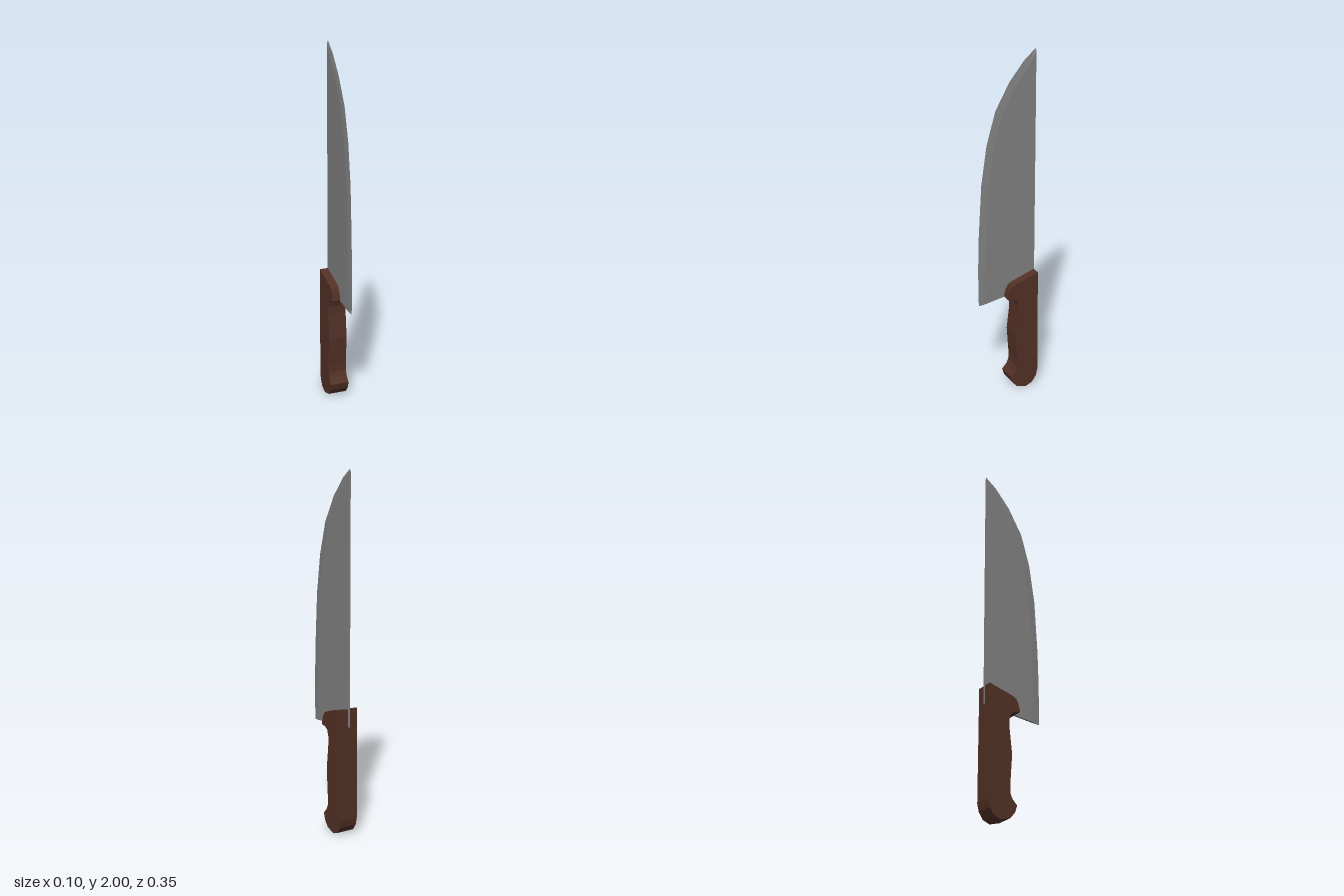
import * as THREE from 'three';

const steel = new THREE.MeshStandardMaterial({ color: 0x808080, flatShading: true });
steel.name = 'steel grey';
const wood = new THREE.MeshStandardMaterial({ color: 0x523025, flatShading: true });
wood.name = 'dark brown wood';

const SPINE = -0.17;
const BLADE_HALF = 0.006;
const HANDLE_HALF = 0.052;

// Blade: lofted rows from heel to tip, flat at the spine and ground to a sharp edge
function makeBlade() {
  // [edge z, edge y, bevel z, bevel y, spine y]
  const rows = [
    [0.172, 0.58, 0.13, 0.586, 0.625],
    [0.174, 0.79, 0.133, 0.79, 0.79],
    [0.168, 1.0, 0.127, 1.0, 1.0],
    [0.15, 1.3, 0.11, 1.29, 1.3],
    [0.117, 1.52, 0.08, 1.5, 1.52],
    [0.065, 1.7, 0.033, 1.67, 1.7],
    [-0.018, 1.845, -0.045, 1.81, 1.84],
    [-0.105, 1.948, -0.125, 1.915, 1.93],
    [SPINE, 2.0, SPINE, 1.985, 1.985],
  ];
  const t = BLADE_HALF;
  const pos = [];
  for (const [ez, ey, bz, by, sy] of rows) {
    pos.push(t, sy, SPINE, t, by, bz, 0, ey, ez, -t, by, bz, -t, sy, SPINE);
  }
  const index = [];
  for (let i = 0; i < rows.length - 1; i++) {
    for (let k = 0; k < 5; k++) {
      const a = i * 5 + k, b = i * 5 + (k + 1) % 5;
      const d = a + 5, c = b + 5;
      index.push(a, d, c, a, c, b);
    }
  }
  const top = (rows.length - 1) * 5;
  for (let k = 1; k < 4; k++) {
    index.push(0, k, k + 1);
    index.push(top, top + k + 1, top + k);
  }
  const g = new THREE.BufferGeometry();
  g.setAttribute('position', new THREE.Float32BufferAttribute(pos, 3));
  g.setIndex(index);
  const flat = g.toNonIndexed();
  flat.computeVertexNormals();
  return flat;
}

// Handle: side profile (z, y) with finger guard, grip waist and rounded butt
function makeHandle() {
  const profile = [
    [-0.168, 0.727], [-0.03, 0.686], [-0.008, 0.675], [0.006, 0.655], [0.02, 0.605],
    [0.016, 0.6], [-0.015, 0.597], [-0.036, 0.582], [-0.046, 0.55], [-0.046, 0.5],
    [-0.03, 0.36], [-0.041, 0.2], [-0.04, 0.15], [-0.028, 0.122], [0, 0.093],
    [-0.012, 0.055], [-0.04, 0.02], [-0.098, 0.004], [-0.138, 0.02],
    [-0.163, 0.058], [-0.172, 0.1],
  ];
  const shape = new THREE.Shape(profile.map(([z, y]) => new THREE.Vector2(z, y)));
  const g = new THREE.ExtrudeGeometry(shape, { depth: HANDLE_HALF * 2, bevelEnabled: false });
  g.translate(0, 0, -HANDLE_HALF);
  g.rotateY(-Math.PI / 2);
  return g;
}

export function createModel() {
  const model = new THREE.Group();
  model.name = 'kitchenKnife';
  const add = (name, geometry, material) => {
    const mesh = new THREE.Mesh(geometry, material);
    mesh.name = name;
    model.add(mesh);
  };
  add('blade', makeBlade(), steel);
  add('handle', makeHandle(), wood);
  return model;
}
